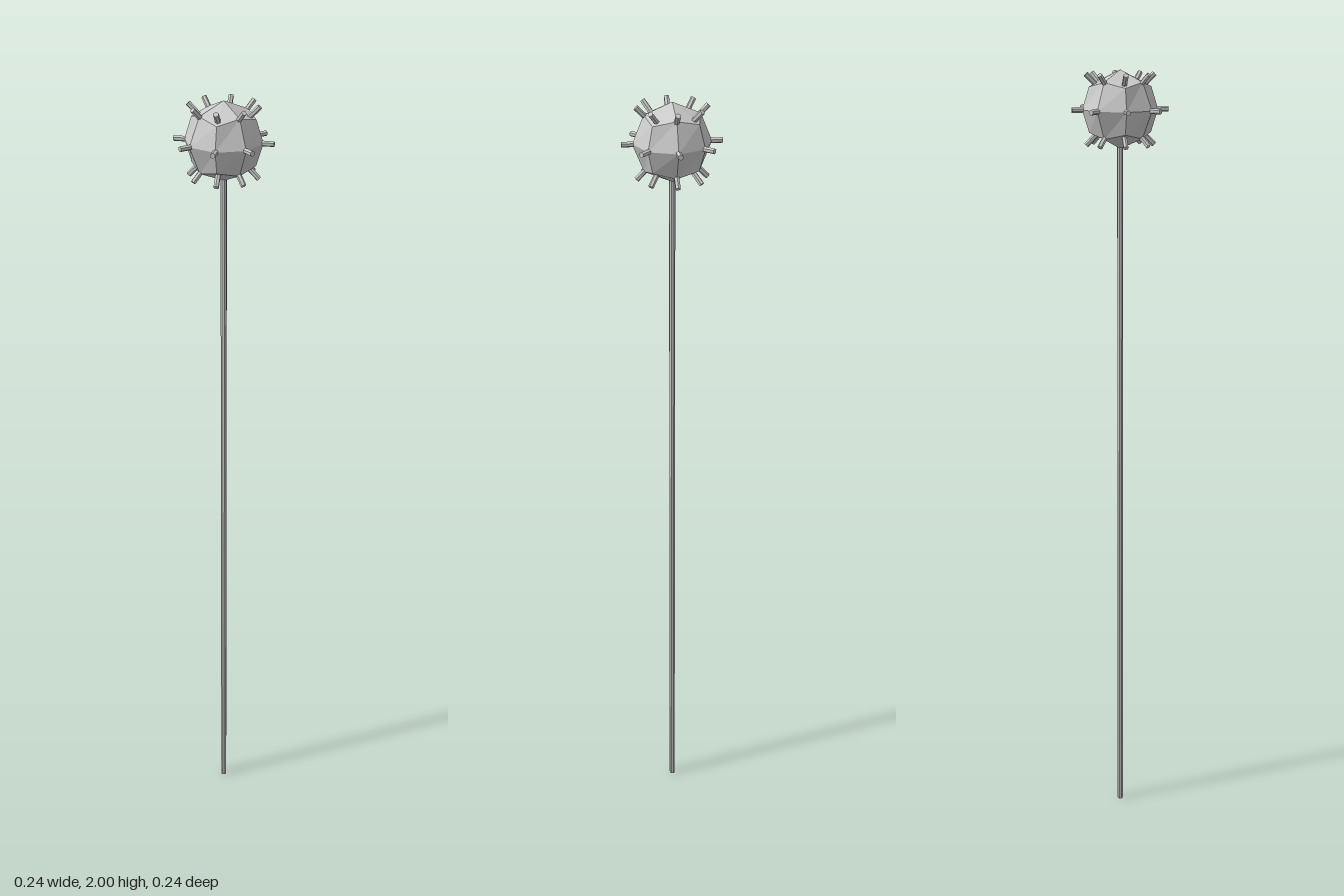
import * as THREE from 'three';

export function createModel() {
  const group = new THREE.Group();
  const material = new THREE.MeshStandardMaterial({ color: 0xcccccc, flatShading: true });
  const centreY = 1.907, ballRadius = 0.093, spikeTip = 0.118;

  // Faceted ball: a 2x2 cube pushed out to a sphere
  const ballGeometry = new THREE.BoxGeometry(1, 1, 1, 2, 2, 2);
  const p = ballGeometry.attributes.position;
  const v = new THREE.Vector3();
  for (let i = 0; i < p.count; i++) {
    v.fromBufferAttribute(p, i).setLength(ballRadius);
    p.setXYZ(i, v.x, v.y, v.z);
  }
  ballGeometry.computeVertexNormals();
  const ball = new THREE.Mesh(ballGeometry, material);
  ball.name = 'ball';
  ball.position.y = centreY;
  group.add(ball);

  // Long thin shaft ending inside the ball
  const shaftHeight = centreY - 0.07;
  const shaftGeometry = new THREE.CylinderGeometry(0.0075, 0.0075, shaftHeight, 8);
  shaftGeometry.rotateY(Math.PI / 8);
  const shaft = new THREE.Mesh(shaftGeometry, material);
  shaft.name = 'shaft';
  shaft.position.y = shaftHeight / 2;
  group.add(shaft);

  // Spikes: three rings of eight around the ball
  const spikes = new THREE.Group();
  spikes.name = 'spikes';
  spikes.position.y = centreY;
  const spikeStart = 0.06;
  const spikeGeometry = new THREE.CylinderGeometry(0.0065, 0.0065, spikeTip - spikeStart, 6);
  spikeGeometry.translate(0, (spikeTip + spikeStart) / 2, 0);
  for (const tilt of [Math.PI / 4, Math.PI / 2, 3 * Math.PI / 4]) {
    for (let i = 0; i < 8; i++) {
      const spike = new THREE.Mesh(spikeGeometry, material);
      spike.name = 'spike';
      spike.rotation.set(tilt, i * Math.PI / 4, 0, 'YXZ');
      spikes.add(spike);
    }
  }
  group.add(spikes);

  return group;
}
